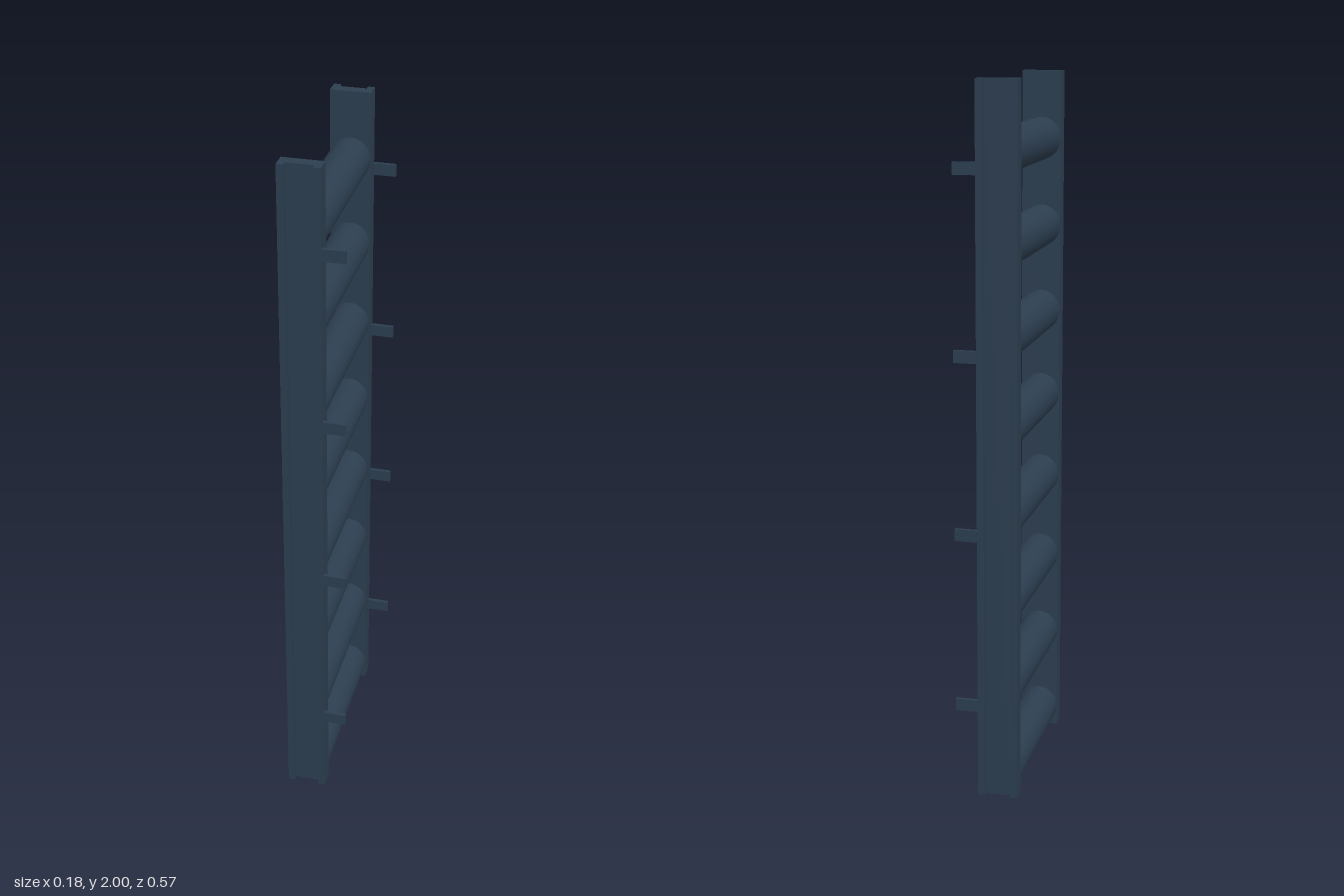
import * as THREE from 'three';

export function createModel() {
  const model = new THREE.Group();
  const slate = new THREE.MeshStandardMaterial({ color: 0x2c3e50 });
  slate.name = 'slate blue paint';

  const add = (name, geometry, x, y, z) => {
    const mesh = new THREE.Mesh(geometry, slate);
    mesh.name = name;
    mesh.position.set(x, y, z);
    model.add(mesh);
    return mesh;
  };

  const back = -0.088, front = 0.025;   // rail depth along x
  const inner = 0.24, web = 0.271, outer = 0.286; // rail thickness along z
  const flange = 0.0195;

  // C-channel rails, open side facing outward
  for (const side of [1, -1]) {
    const profile = new THREE.Shape([
      [back, inner], [front, inner], [front, outer], [front - flange, outer],
      [front - flange, web], [back + flange, web], [back + flange, outer], [back, outer],
    ].map(([x, z]) => new THREE.Vector2(x, -z * side)));
    const rail = new THREE.ExtrudeGeometry(profile, { depth: 2, bevelEnabled: false });
    rail.rotateX(-Math.PI / 2);
    add(side > 0 ? 'frontRail' : 'backRail', rail, 0, 0, 0);

    // Mounting tabs on the flange
    for (let i = 0; i < 4; i++) {
      add('mountingTab', new THREE.BoxGeometry(0.063, 0.034, 0.01), 0.0565, 0.27 + i * 0.5, side * 0.281);
    }
  }

  // Round rungs, slightly taller than deep
  const rung = new THREE.CylinderGeometry(1, 1, 2 * inner, 32);
  rung.rotateX(Math.PI / 2);
  rung.scale((front - back) / 2, 0.06, 1);
  for (let i = 0; i < 8; i++) {
    add('rung', rung, (front + back) / 2, 0.06 + i * 0.25, 0);
  }

  return model;
}
